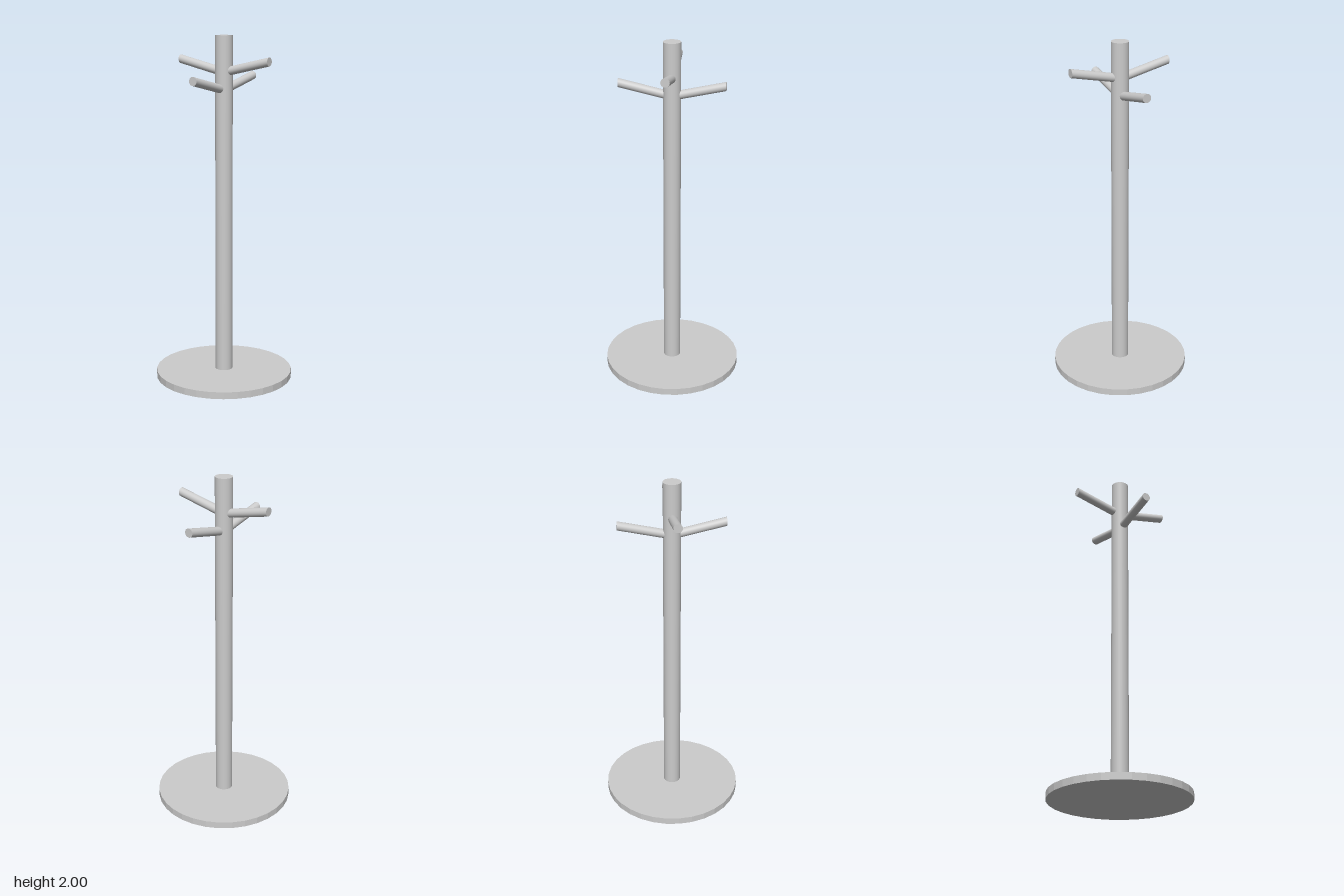
import * as THREE from 'three';

const grey = new THREE.MeshStandardMaterial({ color: 0xcccccc });
const greyFlat = new THREE.MeshStandardMaterial({ color: 0xcccccc, flatShading: true });

// Upright round part standing on height y
function post(name, radius, y, height, material) {
  const mesh = new THREE.Mesh(new THREE.CylinderGeometry(radius, radius, height, 32), material);
  mesh.name = name;
  mesh.position.y = y + height / 2;
  return mesh;
}

// Peg running outward along +x, sheared upward so its end stays vertical
function pegGeometry(inner, outer, radius, rise) {
  const geometry = new THREE.CylinderGeometry(radius, radius, outer - inner, 24);
  geometry.rotateZ(-Math.PI / 2);
  geometry.translate((inner + outer) / 2, 0, 0);
  const shear = new THREE.Matrix4().set(
    1, 0, 0, 0,
    rise, 1, 0, -rise * inner,
    0, 0, 1, 0,
    0, 0, 0, 1
  );
  return geometry.applyMatrix4(shear);
}

export function createModel() {
  const model = new THREE.Group();
  model.name = 'coatStand';

  // Base disc and pole
  model.add(post('base', 0.4, 0, 0.04, greyFlat));
  model.add(post('pole', 0.05, 0.04, 1.96, grey));

  // Four pegs: the side pair sits higher than the front and back pair
  const geometry = pegGeometry(0.03, 0.3, 0.025, 0.222);
  ['leftPeg', 'backPeg', 'rightPeg', 'frontPeg'].forEach((name, i) => {
    const peg = new THREE.Mesh(geometry, grey);
    peg.name = name;
    peg.position.y = i % 2 ? 1.7 : 1.8;
    peg.rotation.y = i * Math.PI / 2;
    model.add(peg);
  });

  return model;
}
